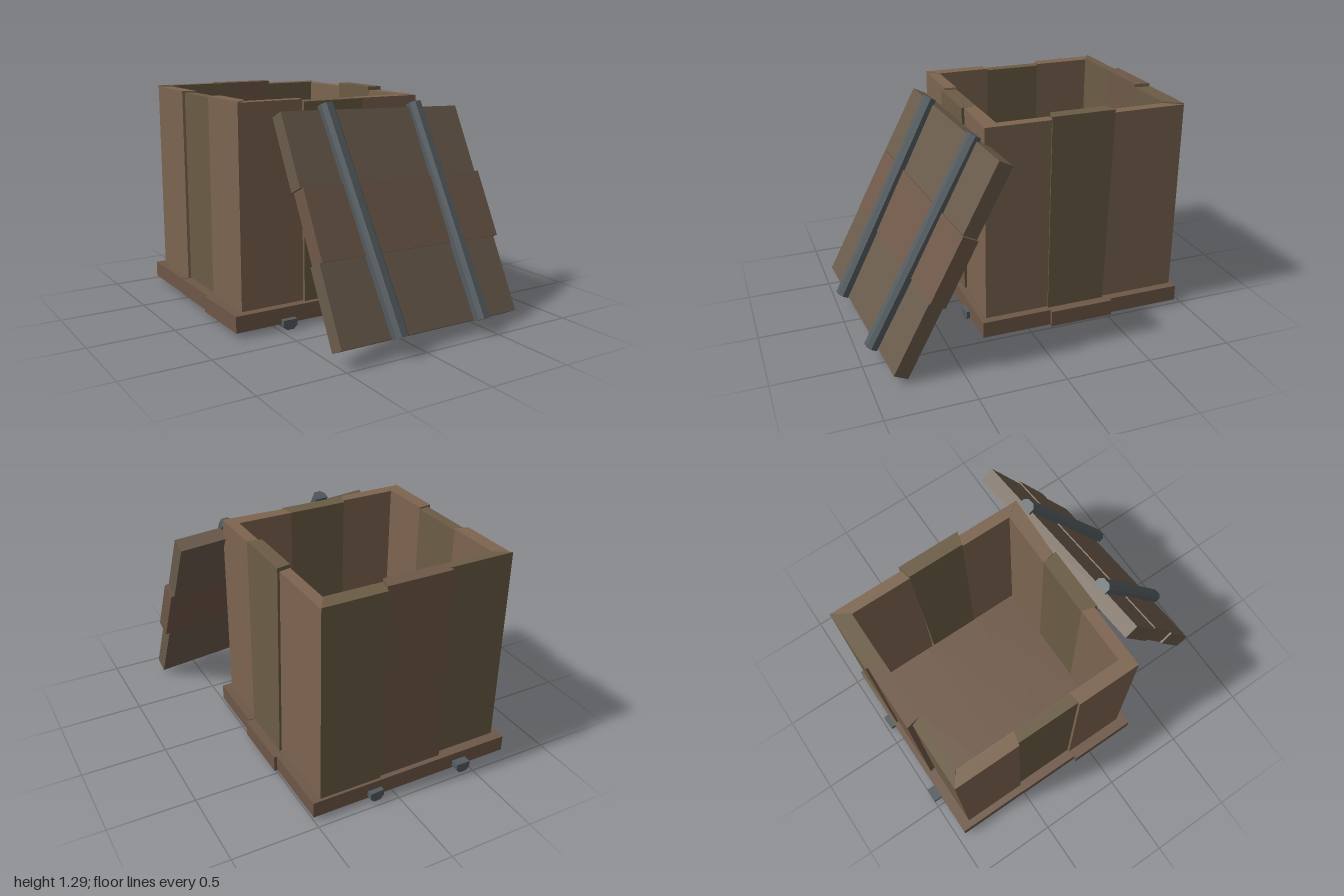
import * as THREE from 'three';

const paint = (color) => new THREE.MeshStandardMaterial({ color, flatShading: true });
const BROWN = paint(0x7d6550), OLIVE = paint(0x6b5c45), DARK = paint(0x6e5848), DUSTY = paint(0x6a5b4b);
const IRON = paint(0x545c60);

function add(parent, name, geometry, material) {
  const mesh = new THREE.Mesh(geometry, material);
  mesh.name = name;
  parent.add(mesh);
  return mesh;
}

// Box plank given by its minimum and maximum corners
function plank(parent, name, min, max, material) {
  const size = max.map((v, i) => v - min[i]);
  const mesh = add(parent, name, new THREE.BoxGeometry(...size), material);
  mesh.position.set(...max.map((v, i) => (v + min[i]) / 2));
  return mesh;
}

// Upright board raised from a footprint of [x, z] points
function board(parent, name, points, top, material) {
  const bottom = 0.125;
  const shape = new THREE.Shape(points.map(([x, z]) => new THREE.Vector2(x, -z)));
  const geometry = new THREE.ExtrudeGeometry(shape, { depth: top - bottom, bevelEnabled: false });
  geometry.rotateX(-Math.PI / 2);
  geometry.translate(0, bottom, 0);
  return add(parent, name, geometry, material);
}

// Batten between two points, chamfered on the side that faces "out"
function batten(parent, name, from, to, out) {
  const a = new THREE.Vector3(...from), b = new THREE.Vector3(...to);
  const w = 0.043, h = 0.029, c = 0.022;
  const shape = new THREE.Shape([[-w, -h], [w, -h], [w, h - c], [w - c, h], [c - w, h], [-w, h - c]]
    .map((p) => new THREE.Vector2(...p)));
  const geometry = new THREE.ExtrudeGeometry(shape, { depth: a.distanceTo(b), bevelEnabled: false });
  const mesh = new THREE.Mesh(geometry, IRON);
  mesh.name = name;
  mesh.up.set(...out);
  mesh.position.copy(a);
  mesh.lookAt(b);
  parent.add(mesh);
}

function buildBase() {
  const base = new THREE.Group();
  base.name = 'base';
  plank(base, 'baseBackPlank', [-0.74, 0.03, -0.95], [0.505, 0.125, -0.505], DARK);
  plank(base, 'baseMiddlePlank', [-0.742, 0.027, -0.505], [0.523, 0.123, -0.118], DARK);
  plank(base, 'baseFrontPlank', [-0.762, 0.03, -0.118], [0.503, 0.126, 0.298], DARK);
  batten(base, 'baseBattenRight', [-0.44, 0.03, 0.33], [-0.428, 0.05, -1], [0, -1, 0]);
  batten(base, 'baseBattenLeft', [0.22, 0.04, 0.32], [0.127, 0.047, -0.98], [0, -1, 0]);
  return base;
}

function buildWalls() {
  const walls = new THREE.Group();
  walls.name = 'walls';
  // Inner planes of the box; every wall is flush on the inside
  const L = -0.62, R = 0.39, B = -0.835, F = 0.175;

  // Back wall
  board(walls, 'backBoardRight', [[-0.7, -0.89], [-0.31, -0.89], [-0.29, B], [L, B]], 1.293, OLIVE);
  board(walls, 'backBoardMiddle', [[-0.31, -0.92], [0.085, -0.92], [0.06, B], [-0.29, B]], 1.295, DARK);
  board(walls, 'backBoardLeft', [[0.085, -0.933], [0.455, -0.933], [R, B], [0.06, B]], 1.276, OLIVE);

  // Front wall
  board(walls, 'frontBoardRight', [[-0.7, 0.245], [-0.31, 0.245], [-0.29, F], [L, F]], 1.28, BROWN);
  board(walls, 'frontBoardMiddle', [[-0.31, 0.265], [0.075, 0.265], [0.06, F], [-0.29, F]], 1.268, OLIVE);
  board(walls, 'frontBoardLeft', [[0.075, 0.25], [0.455, 0.265], [R, F], [0.06, F]], 1.268, BROWN);

  // Left wall, with a middle board that narrows toward the floor
  board(walls, 'leftBoardBack', [[0.455, -0.933], [0.455, -0.463], [R, -0.463], [R, B]], 1.27, BROWN);
  board(walls, 'leftBoardFront', [[0.455, 0.265], [0.455, -0.118], [R, -0.135], [R, F]], 1.27, BROWN);
  const middle = board(walls, 'leftBoardMiddle',
    [[0.47, -0.115], [0.47, -0.492], [R - 0.001, -0.475], [R - 0.001, -0.135]], 1.292, OLIVE);
  const p = middle.geometry.attributes.position;
  for (let i = 0; i < p.count; i++) {
    if (p.getY(i) < 0.5 && p.getZ(i) < -0.3) p.setZ(i, p.getZ(i) + 0.025);
  }

  // Right wall
  board(walls, 'rightBoardBack', [[-0.7, -0.89], [-0.7, -0.505], [L, -0.485], [L, B]], 1.285, BROWN);
  board(walls, 'rightBoardMiddle', [[-0.685, -0.505], [-0.685, -0.13], [L, -0.14], [L, -0.485]], 1.275, OLIVE);
  board(walls, 'rightBoardFront', [[-0.7, -0.13], [-0.7, 0.245], [L, F], [L, -0.14]], 1.285, BROWN);
  return walls;
}

// Lid leaning on the front; local x runs across, y up the slope, z outward
function buildLid() {
  const lid = new THREE.Group();
  lid.name = 'lid';
  const t = -0.088;
  plank(lid, 'lidTopPlank', [-0.628, 0.213, t], [0.632, 0.637, 0], DUSTY);
  plank(lid, 'lidMiddlePlank', [-0.613, -0.187, t], [0.652, 0.213, 0.008], DARK);
  plank(lid, 'lidBottomPlank', [-0.625, -0.637, t], [0.628, -0.187, 0], DUSTY);
  batten(lid, 'lidBattenRight', [-0.264, -0.642, 0.036], [-0.338, 0.663, 0.021], [0, 0, 1]);
  batten(lid, 'lidBattenLeft', [0.328, -0.646, 0.038], [0.304, 0.66, 0.012], [0, 0, 1]);

  const across = new THREE.Vector3(0.997, -0.036, -0.072).normalize();
  const slope = new THREE.Vector3(-0.012, 0.886, -0.463);
  const out = across.clone().cross(slope).normalize();
  slope.crossVectors(out, across);
  lid.quaternion.setFromRotationMatrix(new THREE.Matrix4().makeBasis(across, slope, out));
  lid.position.set(0.11, 0.65, 0.63);
  return lid;
}

export function createModel() {
  const crate = new THREE.Group();
  crate.name = 'openCrate';
  crate.add(buildBase(), buildWalls(), buildLid());
  return crate;
}
